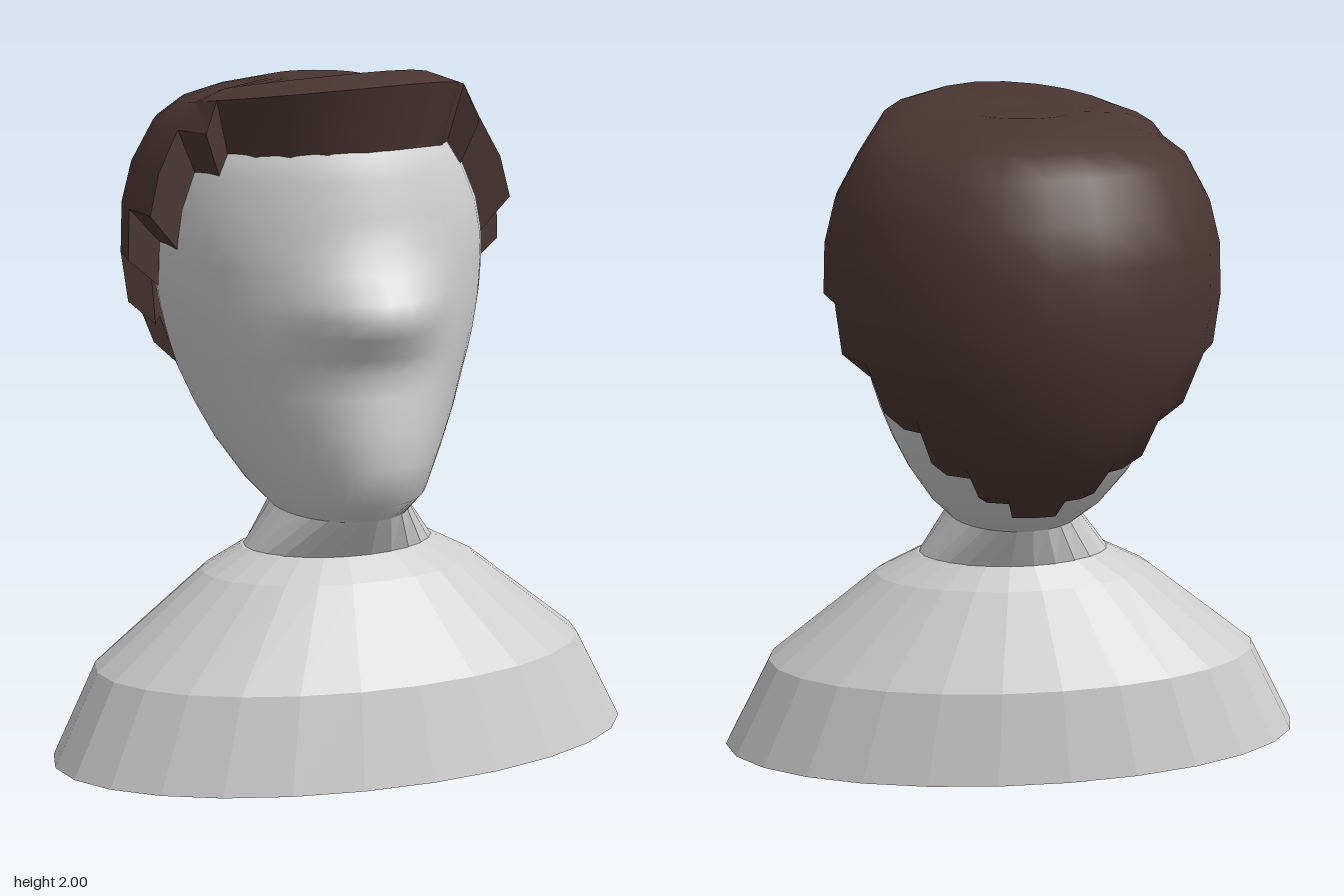
import * as THREE from 'three';
import { toCreasedNormals } from 'three/addons/utils/BufferGeometryUtils.js';

// Stack of ovals, bottom to top. Row: [y, half width, z front, z back, z axis (default middle), mid-face bulge]
function loft(rows, segs) {
  const pos = [], index = [];
  rows.forEach(([y, w, front, back, axis = (front + back) / 2, bulge = 0], i) => {
    for (let j = 0; j < segs; j++) {
      const a = (j / segs) * Math.PI * 2;
      const x = w * Math.cos(a), s = Math.sin(a);
      let z = axis + s * (s > 0 ? front - axis : axis - back);
      if (s > 0) z += bulge * Math.exp(-Math.pow(Math.abs(x) / 0.2, 3)) * Math.min(1, s * 2);
      pos.push(x, y, z);
      if (i < rows.length - 1) {
        const k = (j + 1) % segs, p = i * segs, q = p + segs;
        index.push(p + j, q + j, p + k, q + j, q + k, p + k);
      }
    }
  });
  const g = new THREE.BufferGeometry();
  g.setAttribute('position', new THREE.Float32BufferAttribute(pos, 3));
  g.setIndex(index);
  return g;
}

// Hair shell rows, crown down: [y, radius, front lift, front stretch, inward thickness, downward thickness]
const HAIR = [
  [1.95, 0, 0, 0, 0, 0.17],
  [1.955, 0.14, 0.01, 0.1, 0.02, 0.17],
  [1.92, 0.31, 0.08, 0.17, 0.04, 0.17],
  [1.89, 0.40, 0.08, 0.17, 0.05, 0.17],
  [1.83, 0.48, 0, 0, 0.06, 0.13],
  [1.71, 0.545, 0, 0, 0.08, 0.11],
  [1.59, 0.575, 0, 0, 0.09, 0.10],
  [1.44, 0.58, 0, 0, 0.09, 0.08],
  [1.29, 0.56, 0, 0, 0.08, 0.07],
  [1.14, 0.50, 0, 0, 0.07, 0.06],
  [1.00, 0.43, 0, 0, 0.07, 0.05],
  [0.89, 0.335, 0, 0, 0.06, 0.03],
  [0.81, 0.245, 0, 0, 0.06, 0.0],
];
// How many rows each 15 degree column reaches down, from forehead to nape
const LENGTHS = [3, 3, 3, 3, 4, 6, 7, 8, 9, 10, 11, 12];

function hairGeometry() {
  const n = LENGTHS.length * 2, pos = [];
  const has = (i, j) => {
    const c = (j + n) % n;
    return i < LENGTHS[c < n / 2 ? c : n - 1 - c];
  };
  const point = (i, j, inner) => {
    const [y, r, lift, stretch, inward, down] = HAIR[i];
    const a = Math.PI / 2 - (j / n) * Math.PI * 2;
    const f = Math.max(0, Math.sin(a));
    const R = r * (1 + stretch * f) - (inner ? inward : 0);
    const x = R * Math.cos(a);
    const tilt = lift ? 0.05 * x * f : 0;
    return [x, y + lift * f + tilt - (inner ? down + 0.02 * f : 0), R * Math.sin(a) - 0.06];
  };
  const quad = (a, b, c, d) => [a, b, c, a, c, d].forEach((p) => pos.push(...p));
  for (let j = 0; j < n; j++) {
    for (let i = 0; has(i, j); i++) {
      const corners = [[i + 1, j + 1], [i, j + 1], [i, j], [i + 1, j]];
      const out = corners.map(([r, c]) => point(r, c, false));
      const inn = corners.map(([r, c]) => point(r, c, true));
      quad(...out);
      quad(inn[3], inn[2], inn[1], inn[0]);
      // close the stepped edge wherever the neighbouring cell is missing
      const open = [!has(i, j + 1), false, !has(i, j - 1), !has(i + 1, j)];
      open.forEach((isOpen, k) => {
        const m = (k + 1) % 4;
        if (isOpen) quad(out[m], out[k], inn[k], inn[m]);
      });
    }
  }
  const g = new THREE.BufferGeometry();
  g.setAttribute('position', new THREE.Float32BufferAttribute(pos, 3));
  return g;
}

export function createModel() {
  const group = new THREE.Group();
  const add = (name, geometry, options) => {
    const mesh = new THREE.Mesh(geometry, new THREE.MeshStandardMaterial(options));
    mesh.name = name;
    group.add(mesh);
  };

  // Hollow shoulders: inner wall down to the rim, then the outer wall up
  const shoulders = loft([
    [0.56, 0, 0.12, 0.12],
    [0.50, 0.30, 0.30, -0.06],
    [0.25, 0.62, 0.48, -0.19],
    [0, 0.745, 0.57, -0.25],
    [0, 0.885, 0.65, -0.33],
    [0.27, 0.75, 0.575, -0.285],
    [0.535, 0.42, 0.39, -0.13],
    [0.60, 0.295, 0.31, -0.07],
    [0.60, 0, 0.12, 0.12],
  ], 26);
  shoulders.computeVertexNormals();
  add('shoulders', shoulders, { color: 0xcccccc, flatShading: true });

  // Neck
  const neck = loft([
    [0.59, 0.295, 0.31, -0.07],
    [0.72, 0.20, 0.40, -0.13],
    [0.73, 0, 0.13, 0.13],
  ], 26);
  neck.computeVertexNormals();
  add('neck', neck, { color: 0xcccccc, flatShading: true });

  // Head, with the bulge shaping chin, mouth, nose and brow
  const head = loft([
    [0.72, 0.20, 0.39, -0.13, 0.13, 0.01],
    [0.79, 0.26, 0.44, -0.24, 0.06, 0.065],
    [0.90, 0.33, 0.455, -0.345, 0, 0.07],
    [1.00, 0.38, 0.455, -0.41, -0.03, 0.065],
    [1.10, 0.42, 0.45, -0.46, -0.06, 0.05],
    [1.17, 0.442, 0.45, -0.49, -0.06, 0.04],
    [1.22, 0.455, 0.45, -0.50, -0.06, 0.07],
    [1.28, 0.468, 0.445, -0.52, -0.06, 0.105],
    [1.33, 0.477, 0.44, -0.53, -0.06, 0.14],
    [1.38, 0.482, 0.435, -0.535, -0.06, 0.12],
    [1.45, 0.486, 0.43, -0.54, -0.06, 0.045],
    [1.51, 0.484, 0.425, -0.54, -0.06, 0.01],
    [1.60, 0.468, 0.41, -0.53, -0.06],
    [1.70, 0.425, 0.39, -0.48, -0.06],
    [1.78, 0.37, 0.36, -0.41, -0.06],
    [1.84, 0.26, 0.24, -0.28, -0.06],
    [1.86, 0, -0.06, -0.06, -0.06],
  ], 48);
  head.computeVertexNormals();
  add('head', head, { color: 0xcccccc });

  // Hair cap with stepped hairline
  add('hair', toCreasedNormals(hairGeometry(), 0.7), { color: 0x4a3632 });

  return group;
}
